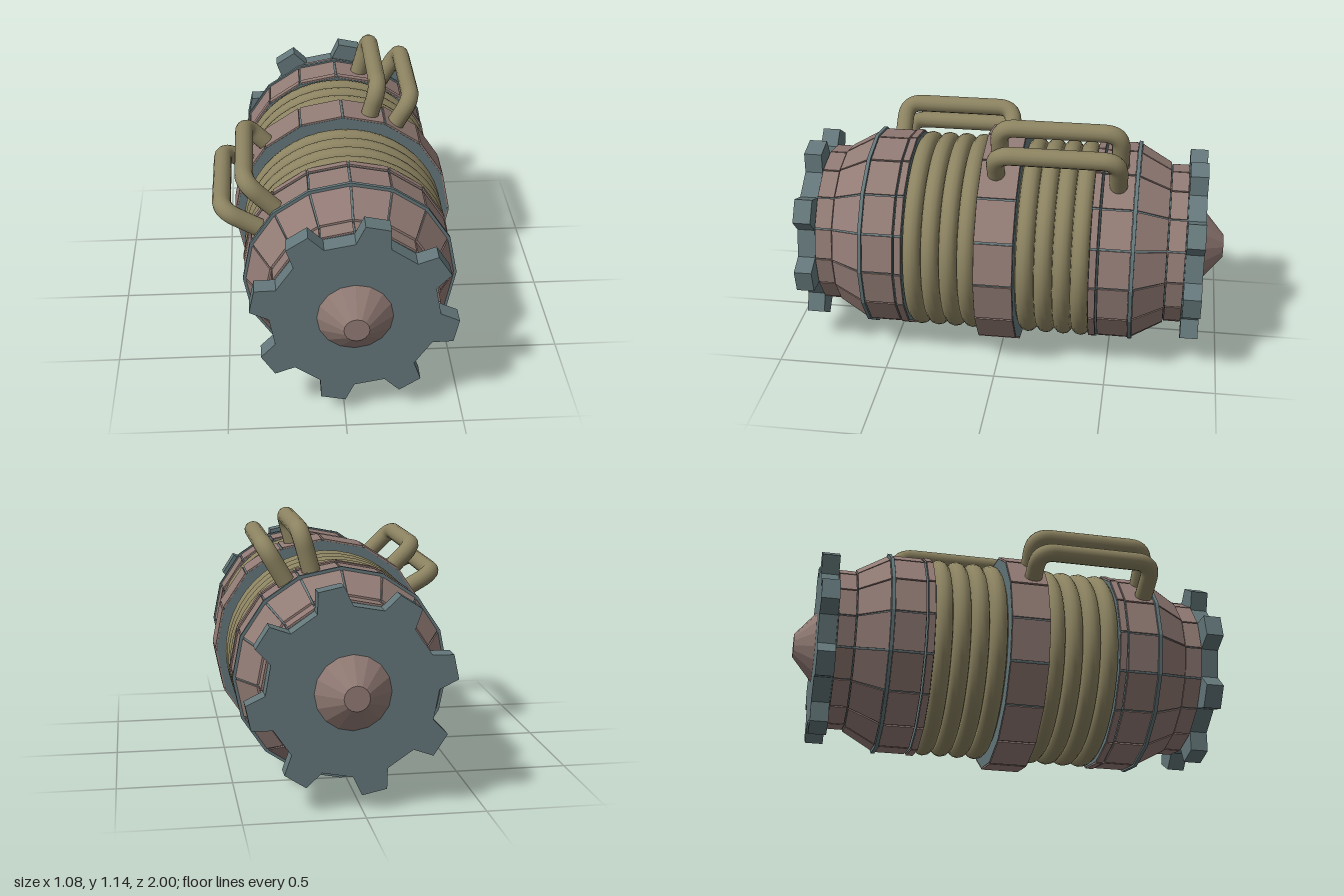
import * as THREE from 'three';
import { ConvexGeometry } from 'three/addons/geometries/ConvexGeometry.js';

const SIDES = 16;
const RAD = Math.PI / 180;
const plate = new THREE.MeshStandardMaterial({ color: 0x927b75, flatShading: true });
const steel = new THREE.MeshStandardMaterial({ color: 0x64777a, flatShading: true });
const hose = new THREE.MeshStandardMaterial({ color: 0x8c8361 });

function add(parent, name, geometry, material) {
  const mesh = new THREE.Mesh(geometry, material);
  mesh.name = name;
  parent.add(mesh);
  return mesh;
}

// Frustum along z, from z0 (radius r0) to z1 (radius r1), with z0 < z1
function frustum(z0, r0, z1, r1, sides = SIDES) {
  return new THREE.CylinderGeometry(r1, r0, z1 - z0, sides)
    .rotateX(Math.PI / 2)
    .translate(0, 0, (z0 + z1) / 2);
}

// Steel core covered by sixteen separate plates, leaving narrow grooves
function platedBand(parent, name, z0, r0, z1, r1) {
  const band = new THREE.Group();
  band.name = name;
  parent.add(band);
  const inset = 0.008;
  const [a, b, ra, rb] = z0 < z1 ? [z0, z1, r0, r1] : [z1, z0, r1, r0];
  add(band, name + 'Core', frustum(a + 0.003, ra - inset, b - 0.003, rb - inset), steel);
  const gap = 0.005;
  const slope = (rb - ra) / (b - a);
  const ends = [[a + gap, ra + slope * gap], [b - gap, rb - slope * gap]];
  for (let i = 0; i < SIDES; i++) {
    const points = [];
    for (const [z, r] of ends) {
      for (const depth of [0, 0.035]) {
        const p = [i, i + 1].map(k => {
          const t = k / SIDES * Math.PI * 2;
          return new THREE.Vector3((r - depth) * Math.cos(t), (r - depth) * Math.sin(t), z);
        });
        points.push(p[0].clone().lerp(p[1], 0.025), p[0].clone().lerp(p[1], 0.975));
      }
    }
    add(band, name + 'Plate', new ConvexGeometry(points), plate);
  }
}

// Gear with eight tapered teeth
function gearGeometry(thickness) {
  const shape = new THREE.Shape();
  for (let i = 0; i < 8; i++) {
    [[-12, 0.355], [-7, 0.437], [7, 0.437], [12, 0.355]].forEach(([offset, r], j) => {
      const t = (33 + i * 45 + offset) * RAD;
      shape[i + j ? 'lineTo' : 'moveTo'](r * Math.cos(t), r * Math.sin(t));
    });
  }
  shape.closePath();
  return new THREE.ExtrudeGeometry(shape, { depth: thickness, bevelEnabled: false });
}

// Bent pipe standing radially off the body between z0 and z1
function handle(parent, degrees, z0, z1) {
  const c = Math.cos(degrees * RAD), s = Math.sin(degrees * RAD);
  const at = (r, z) => new THREE.Vector3(r * c, r * s, z);
  const top = 0.626, bend = 0.075, d = Math.sign(z1 - z0) * bend;
  const path = new THREE.CurvePath();
  path.add(new THREE.LineCurve3(at(0.42, z0), at(top - bend, z0)));
  path.add(new THREE.QuadraticBezierCurve3(at(top - bend, z0), at(top, z0), at(top, z0 + d)));
  path.add(new THREE.LineCurve3(at(top, z0 + d), at(top, z1 - d)));
  path.add(new THREE.QuadraticBezierCurve3(at(top, z1 - d), at(top, z1), at(top - bend, z1)));
  path.add(new THREE.LineCurve3(at(top - bend, z1), at(0.38, z1)));
  add(parent, 'handle', new THREE.TubeGeometry(path, 64, 0.04, 14), hose);
}

export function createModel() {
  const model = new THREE.Group();
  model.name = 'platedCylinder';
  const body = new THREE.Group();
  body.name = 'body';
  body.position.set(0.04, 0.5, 0);
  model.add(body);

  platedBand(body, 'centreRing', -0.09, 0.5, 0.09, 0.5);
  add(body, 'coilCore', frustum(-0.42, 0.415, 0.42, 0.415, 32), hose);

  for (const s of [1, -1]) {
    // Four hose coils between the centre ring and the collar
    for (let i = 0; i < 4; i++) {
      const coil = add(body, 'coil', new THREE.TorusGeometry(0.413, 0.041, 12, 48), hose);
      coil.position.z = s * (0.13 + i * 0.081);
    }

    // Plated collar, shoulder and neck
    platedBand(body, 'collarLip', s * 0.41, 0.46, s * 0.45, 0.46);
    platedBand(body, 'collar', s * 0.45, 0.455, s * 0.595, 0.455);
    platedBand(body, 'shoulder', s * 0.605, 0.452, s * 0.75, 0.37);
    platedBand(body, 'neck', s * 0.745, 0.365, s * 0.83, 0.365);
    add(body, 'collarTrim', frustum(s * 0.6 - 0.008, 0.462, s * 0.6 + 0.008, 0.462), steel);

    // Gear and blunt end cone
    const gear = add(body, 'gear', gearGeometry(0.08), steel);
    gear.position.z = s > 0 ? 0.828 : -0.908;
    const cone = s > 0 ? frustum(0.9, 0.168, 1, 0.053) : frustum(-1, 0.053, -0.9, 0.168);
    add(body, 'endCone', cone, plate);
  }

  // Two pairs of handles, one over each half
  for (const angle of [60, 75]) handle(body, angle, 0.015, -0.52);
  for (const angle of [135, 150]) handle(body, angle, 0.025, 0.55);

  return model;
}
